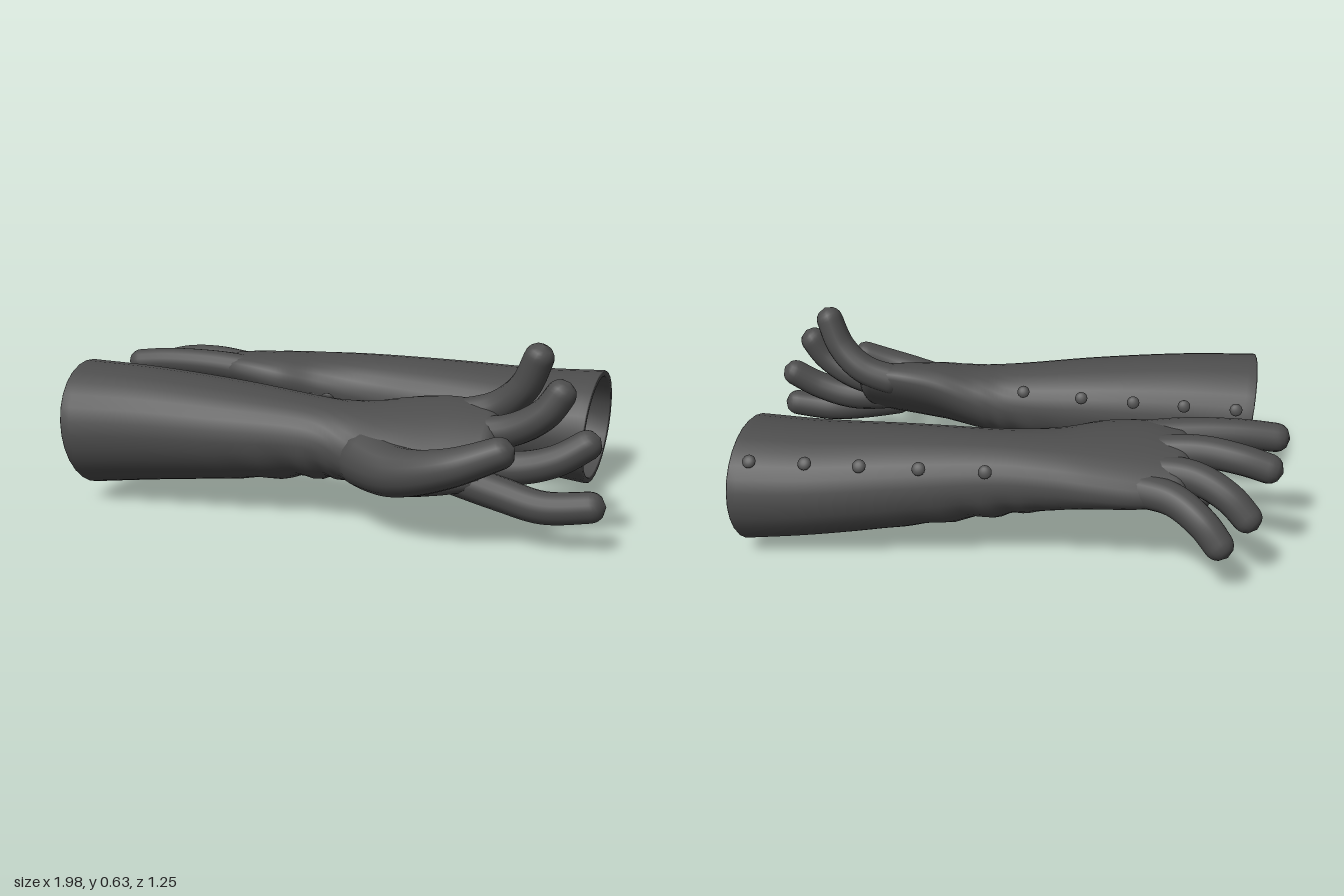
import * as THREE from 'three';

const V = (x, y, z) => new THREE.Vector3(x, y, z);
const SIDES = 28;

// Skin a list of rings (equal point counts) into one smooth surface
function loft(rings) {
  const pos = [], idx = [], n = rings[0].length;
  rings.forEach(r => r.forEach(p => pos.push(p.x, p.y, p.z)));
  for (let i = 0; i < rings.length - 1; i++)
    for (let j = 0; j < n; j++) {
      const a = i * n + j, b = i * n + (j + 1) % n;
      idx.push(a, a + n, b, b, a + n, b + n);
    }
  const g = new THREE.BufferGeometry();
  g.setAttribute('position', new THREE.Float32BufferAttribute(pos, 3));
  g.setIndex(idx);
  g.computeVertexNormals();
  return g;
}

// Sleeve and hand: sections are [x, y, z, half width, half thickness, roll]
function makeBody({ sections, dir, slant }) {
  const centre = new THREE.CatmullRomCurve3(sections.map(s => V(s[0], s[1], s[2])), false, 'catmullrom');
  const size = new THREE.CatmullRomCurve3(sections.map(s => V(s[3], s[4], s[5])), false, 'catmullrom');
  const point = (t, a, k = 1, shift = 0) => {
    const c = centre.getPoint(t), s = size.getPoint(t);
    // soft cloth folds on the underside of the wrist
    const fold = 0.008 * Math.exp(-(((t - 0.42) / 0.1) ** 2)) * Math.max(0, -Math.sin(a)) * Math.sin(t * 80 + a * 2);
    const u = (s.x + fold) * k * Math.cos(a), v = (s.y + fold) * k * Math.sin(a);
    const z = u * Math.cos(s.z) - v * Math.sin(s.z), y = u * Math.sin(s.z) + v * Math.cos(s.z);
    const fade = Math.max(0, 1 - t * 3);
    return V(c.x + dir * shift + fade * (slant[0] * y + slant[1] * dir * z), c.y + y, c.z + dir * z);
  };
  const ring = (t, k, shift) => Array.from({ length: SIDES }, (_, j) => point(t, j / SIDES * Math.PI * 2, k, shift));
  const rings = [];
  for (let i = 24; i >= 0; i--)                                        // lining
    rings.push(ring(i / 24 * 0.85, 0.89 * Math.sqrt(1.00001 - (i / 24) ** 4)));
  rings.push(ring(0, 0.91, -0.004), ring(0, 0.985, -0.004));           // rim
  for (let i = 0; i <= 60; i++) rings.push(ring(i / 60, 1));           // outside
  for (let i = 1; i <= 6; i++) {                                       // rounded knuckles
    const a = i / 6 * Math.PI / 2;
    rings.push(ring(1, Math.max(0.001, Math.cos(a)), 0.055 * Math.sin(a)));
  }
  return { geometry: loft(rings), point, centre, size };
}

// Tapered finger, rounded at both ends
function fingerGeometry(points, r0, r1, power) {
  const p = points.map(q => V(...q)), end = p[p.length - 1];
  const tip = end.clone().sub(p[p.length - 2]).setLength(0.04).add(end);
  const curve = new THREE.CatmullRomCurve3([...p, tip]);
  const n = 44, fr = curve.computeFrenetFrames(n), length = curve.getLength(), rings = [];
  const dome = (d, r) => d < r ? Math.sqrt(Math.max(0.00001, 1 - (1 - d / r) ** 2)) : 1;
  for (let i = 0; i <= n; i++) {
    const t = i / n, c = curve.getPointAt(t);
    const r = (r1 + (r0 - r1) * (1 - t) ** power) * dome(t * length, r0) * dome((1 - t) * length, r1);
    rings.push(Array.from({ length: 16 }, (_, j) => {
      const a = j / 16 * Math.PI * 2;
      return c.clone().addScaledVector(fr.normals[i], r * Math.cos(a)).addScaledVector(fr.binormals[i], -r * Math.sin(a));
    }));
  }
  return loft(rings);
}

const frontGlove = {
  name: 'frontGlove', dir: 1, slant: [-0.12, 0.03],
  sections: [
    [-0.86, 0.26, 0.345, 0.235, 0.22, 0], [-0.6, 0.27, 0.34, 0.215, 0.2, 0],
    [-0.3, 0.272, 0.33, 0.192, 0.172, 0], [0, 0.27, 0.322, 0.158, 0.138, 0],
    [0.15, 0.27, 0.328, 0.17, 0.125, -0.3], [0.3, 0.275, 0.35, 0.21, 0.11, -0.5],
    [0.45, 0.285, 0.335, 0.205, 0.09, -0.6], [0.58, 0.29, 0.325, 0.175, 0.07, -0.65]],
  fingers: {
    index: [[0.46, 0.215, 0.41], [0.66, 0.165, 0.425], [0.8, 0.14, 0.44], [0.955, 0.155, 0.43]],
    middle: [[0.46, 0.26, 0.35], [0.68, 0.235, 0.355], [0.82, 0.27, 0.35], [0.92, 0.33, 0.33]],
    ring: [[0.46, 0.31, 0.28], [0.66, 0.345, 0.3], [0.77, 0.41, 0.31], [0.825, 0.485, 0.305]],
    pinky: [[0.44, 0.35, 0.22], [0.6, 0.4, 0.22], [0.69, 0.48, 0.24], [0.74, 0.59, 0.26]],
    thumb: [[0.13, 0.25, 0.36], [0.33, 0.23, 0.505], [0.52, 0.275, 0.565], [0.69, 0.34, 0.55]]
  },
  buttons: [-0.8, -0.62, -0.44, -0.25, -0.03], buttonSide: -1, stem: 0.05
};

const backGlove = {
  name: 'backGlove', dir: -1, slant: [0.05, -0.06],
  sections: [
    [0.845, 0.21, -0.36, 0.255, 0.21, 0], [0.6, 0.222, -0.36, 0.235, 0.192, 0],
    [0.3, 0.25, -0.36, 0.2, 0.172, 0], [0, 0.28, -0.36, 0.17, 0.145, 0],
    [-0.2, 0.3, -0.345, 0.178, 0.125, -0.1], [-0.35, 0.315, -0.32, 0.205, 0.11, -0.2],
    [-0.5, 0.325, -0.315, 0.205, 0.09, -0.28], [-0.61, 0.33, -0.32, 0.18, 0.07, -0.3]],
  fingers: {
    index: [[-0.42, 0.355, -0.2], [-0.62, 0.38, -0.175], [-0.82, 0.385, -0.16], [-0.95, 0.375, -0.15]],
    middle: [[-0.45, 0.345, -0.28], [-0.68, 0.375, -0.3], [-0.82, 0.365, -0.325], [-0.92, 0.34, -0.335]],
    ring: [[-0.45, 0.315, -0.36], [-0.66, 0.33, -0.405], [-0.78, 0.285, -0.45], [-0.85, 0.22, -0.475]],
    pinky: [[-0.44, 0.29, -0.43], [-0.6, 0.285, -0.49], [-0.7, 0.235, -0.55], [-0.76, 0.17, -0.58]],
    thumb: [[-0.13, 0.27, -0.32], [-0.33, 0.24, -0.2], [-0.52, 0.17, -0.155], [-0.7, 0.14, -0.18]]
  },
  buttons: [0.78, 0.6, 0.42, 0.23, 0.01], buttonSide: 1, stem: 0.03
};

function makeGlove(spec, material) {
  const glove = new THREE.Group();
  glove.name = spec.name;
  const add = (name, geometry, parent = glove) => {
    const m = new THREE.Mesh(geometry, material);
    m.name = name;
    parent.add(m);
    return m;
  };
  const body = makeBody(spec);
  add('sleeveAndPalm', body.geometry);

  // The thumb swells into the palm; the other fingers taper evenly
  for (const [name, points] of Object.entries(spec.fingers))
    add(name + 'Finger', name === 'thumb' ? fingerGeometry(points, 0.115, 0.05, 1.4) : fingerGeometry(points, 0.06, 0.049, 1));

  // Row of buttons: a short stem and a domed cap seated on the sleeve
  spec.buttons.forEach(x => {
    let t = 0;
    while (t < 1 && (body.centre.getPoint(t).x - x) * spec.dir < 0) t += 0.002;
    const s = Math.asin((0.35 - body.centre.getPoint(t).y) / body.size.getPoint(t).y);
    const a = spec.buttonSide > 0 ? s : Math.PI - s;
    const p = body.point(t, a), normal = p.clone().sub(body.centre.getPoint(t)).setX(0).normalize();
    const button = new THREE.Group();
    button.name = 'button';
    button.position.copy(p);
    button.quaternion.setFromUnitVectors(V(0, 1, 0), normal);
    add('buttonStem', new THREE.CylinderGeometry(0.013, 0.013, spec.stem, 12), button).position.y = spec.stem / 2 - 0.012;
    const cap = add('buttonCap', new THREE.SphereGeometry(0.023, 16, 10), button);
    cap.scale.y = 0.45;
    cap.position.y = spec.stem - 0.014;
    glove.add(button);
  });
  return glove;
}

export function createModel() {
  const model = new THREE.Group();
  model.name = 'pairOfGloves';
  const leather = new THREE.MeshStandardMaterial({ color: 0x4c4c4c });
  leather.name = 'darkGreyLeather';
  model.add(makeGlove(frontGlove, leather), makeGlove(backGlove, leather));
  return model;
}
